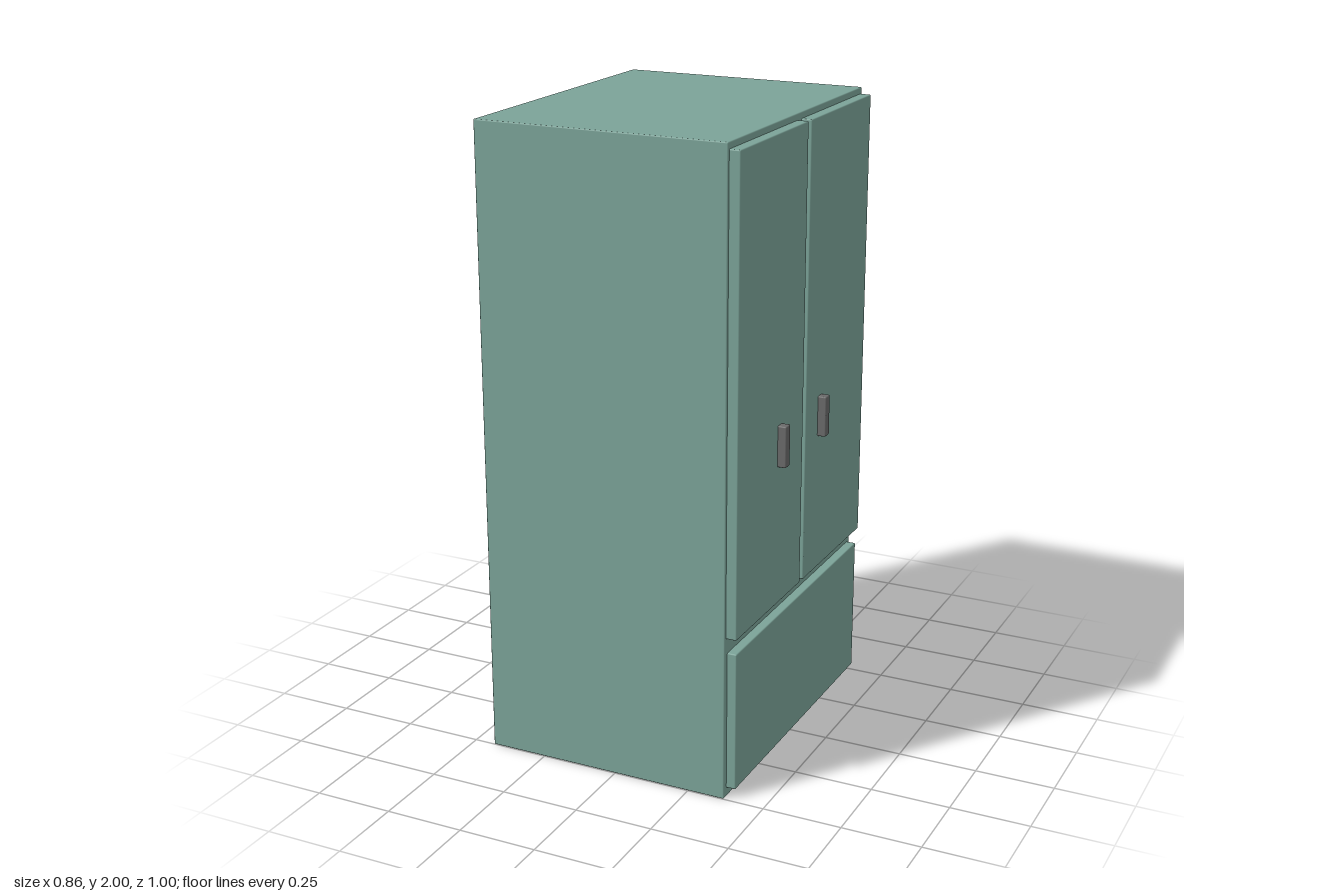
import * as THREE from 'three';
import { RoundedBoxGeometry } from 'three/addons/geometries/RoundedBoxGeometry.js';

const green = new THREE.MeshStandardMaterial({ color: 0x7ba398 });
const grey = new THREE.MeshStandardMaterial({ color: 0x6a6a6a });

// Slightly softened box given by its minimum and maximum corners
function block(name, [x0, y0, z0], [x1, y1, z1], radius, material) {
  const geometry = new RoundedBoxGeometry(x1 - x0, y1 - y0, z1 - z0, 2, radius);
  const mesh = new THREE.Mesh(geometry, material);
  mesh.position.set((x0 + x1) / 2, (y0 + y1) / 2, (z0 + z1) / 2);
  mesh.name = name;
  return mesh;
}

export function createModel() {
  const wardrobe = new THREE.Group();
  wardrobe.name = 'wardrobe';

  // Carcass
  wardrobe.add(block('cabinet', [-0.433, 0, -0.5], [0.37, 2, 0.5], 0.004, green));

  // Pair of doors on the +x face, each with a short upright handle
  const doors = [
    { name: 'Near', z0: 0.012, z1: 0.492, handle: 0.19 },
    { name: 'Far', z0: -0.492, z1: -0.013, handle: -0.123 },
  ];
  for (const { name, z0, z1, handle } of doors) {
    wardrobe.add(block('door' + name, [0.36, 0.527, z0], [0.404, 1.98, z1], 0.004, green));
    wardrobe.add(block('handle' + name, [0.396, 0.975, handle - 0.016], [0.431, 1.105, handle + 0.016], 0.004, grey));
  }

  // Wide drawer front below the doors
  wardrobe.add(block('drawer', [0.36, 0.03, -0.481], [0.4, 0.477, 0.481], 0.004, green));

  return wardrobe;
}
